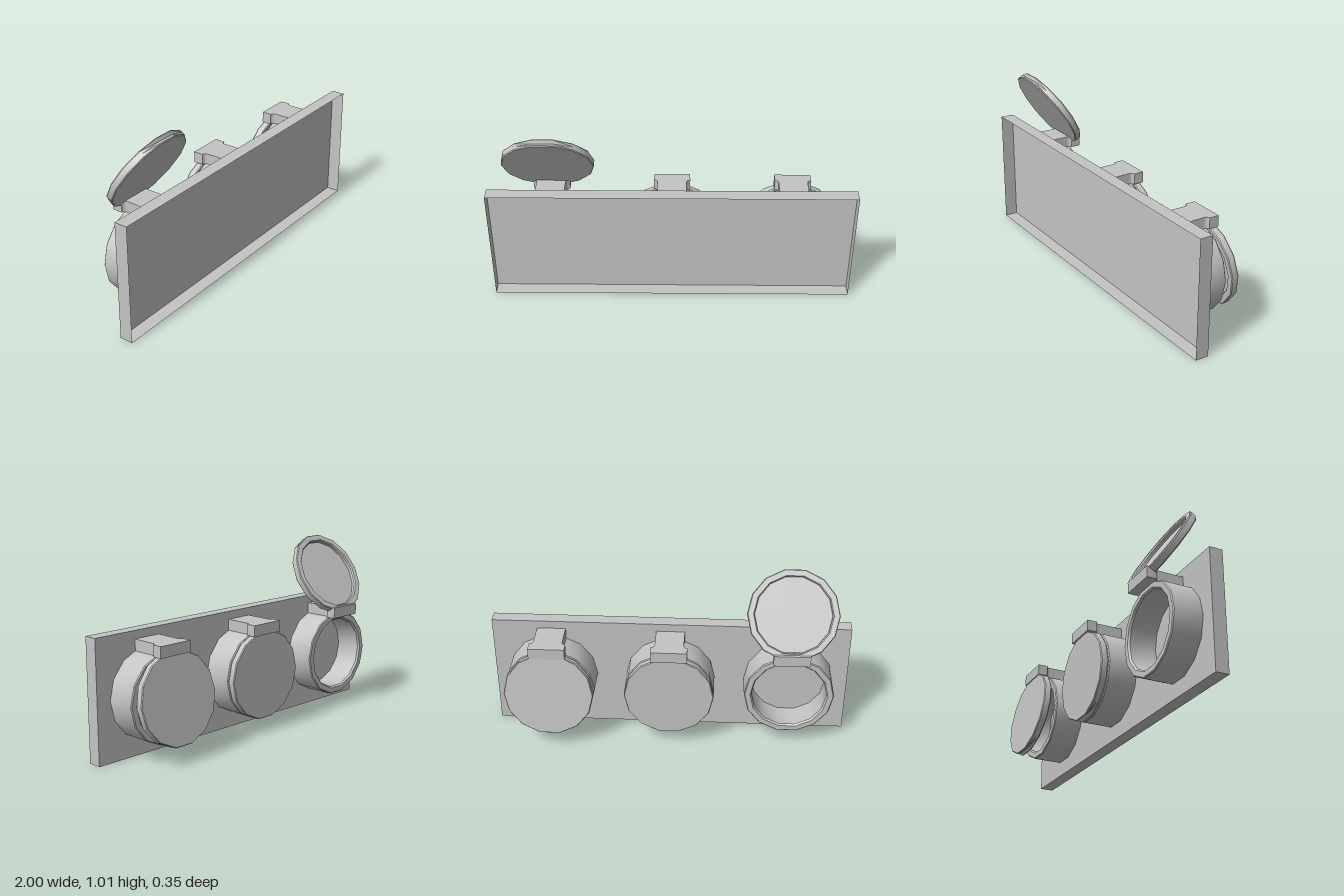
import * as THREE from 'three';
import { toCreasedNormals } from 'three/addons/utils/BufferGeometryUtils.js';

const SIDES = 14;
const CUP_Y = 0.328;

// Lathe whose axis runs along z, with flats at the top and bottom
function turned(profile) {
  const points = profile.map(([r, z]) => new THREE.Vector2(r, z));
  return new THREE.LatheGeometry(points, SIDES, Math.PI / 2).rotateX(Math.PI / 2);
}

// Hollow cup, open to the back
function cupGeometry() {
  return toCreasedNormals(turned([
    [0, 0.095], [0.208, 0.095], [0.208, -0.055], [0.216, -0.065],
    [0.245, -0.065], [0.25, -0.06], [0.25, 0.1],
  ]), 0.6);
}

// Shallow lid with a raised inner rim and a finger groove in its bottom edge
function lidGeometry() {
  const geo = turned([
    [0, -0.021], [0.246, -0.021], [0.25, -0.016], [0.25, 0], [0.25, 0.016],
    [0.246, 0.021], [0.216, 0.021], [0.21, 0.014], [0.21, -0.004], [0, -0.004],
  ]);
  const p = geo.attributes.position;
  for (let i = 0; i < p.count; i++) {
    if (p.getY(i) < -0.242 && Math.abs(p.getZ(i)) < 0.005) p.setY(i, p.getY(i) + 0.014);
  }
  return toCreasedNormals(geo, 0.6);
}

// T-shaped hinge arm, drawn in x and z and extruded downwards
function hingeGeometry() {
  const s = new THREE.Shape();
  s.moveTo(-0.08, 0.1);
  s.lineTo(-0.08, -0.045);
  s.quadraticCurveTo(-0.082, -0.062, -0.1, -0.064);
  s.lineTo(-0.1, -0.12);
  s.lineTo(0.1, -0.12);
  s.lineTo(0.1, -0.064);
  s.quadraticCurveTo(0.082, -0.062, 0.08, -0.045);
  s.lineTo(0.08, 0.1);
  s.closePath();
  return new THREE.ExtrudeGeometry(s, { depth: 0.062, bevelEnabled: false, curveSegments: 4 })
    .rotateX(Math.PI / 2);
}

// Thin-walled mounting plate, open at the front
function plateGeometry() {
  const geo = new THREE.BoxGeometry(2, 0.667, 0.075);
  const index = Array.from(geo.index.array);
  index.splice(24, 6); // drop the front face
  geo.setIndex(index);
  geo.clearGroups();
  return geo;
}

export function createModel() {
  const model = new THREE.Group();
  model.name = 'threeCupHolder';
  const grey = new THREE.MeshStandardMaterial({ color: 0xc4c4c4, side: THREE.DoubleSide });
  grey.name = 'grey';

  function add(name, geometry, x, y, z, tilt = 0) {
    const mesh = new THREE.Mesh(geometry, grey);
    mesh.name = name;
    mesh.position.set(x, y, z);
    mesh.rotation.x = tilt;
    model.add(mesh);
  }

  add('mountingPlate', plateGeometry(), 0, 0.3335, 0.1375);

  const cup = cupGeometry(), lid = lidGeometry(), hinge = hingeGeometry();
  // Each lid: wide open, closed, slightly open
  const units = [
    { name: 'right', x: -0.667, y: 0.796, z: 0.027, tilt: 3.69 },
    { name: 'middle', x: 0, y: CUP_Y, z: -0.089, tilt: 0 },
    { name: 'left', x: 0.667, y: 0.336, z: -0.123, tilt: 0.132 },
  ];
  for (const u of units) {
    add(u.name + 'Cup', cup, u.x, CUP_Y, 0);
    add(u.name + 'Hinge', hinge, u.x, 0.622, 0);
    add(u.name + 'Lid', lid, u.x, u.y, u.z, u.tilt);
  }
  return model;
}
